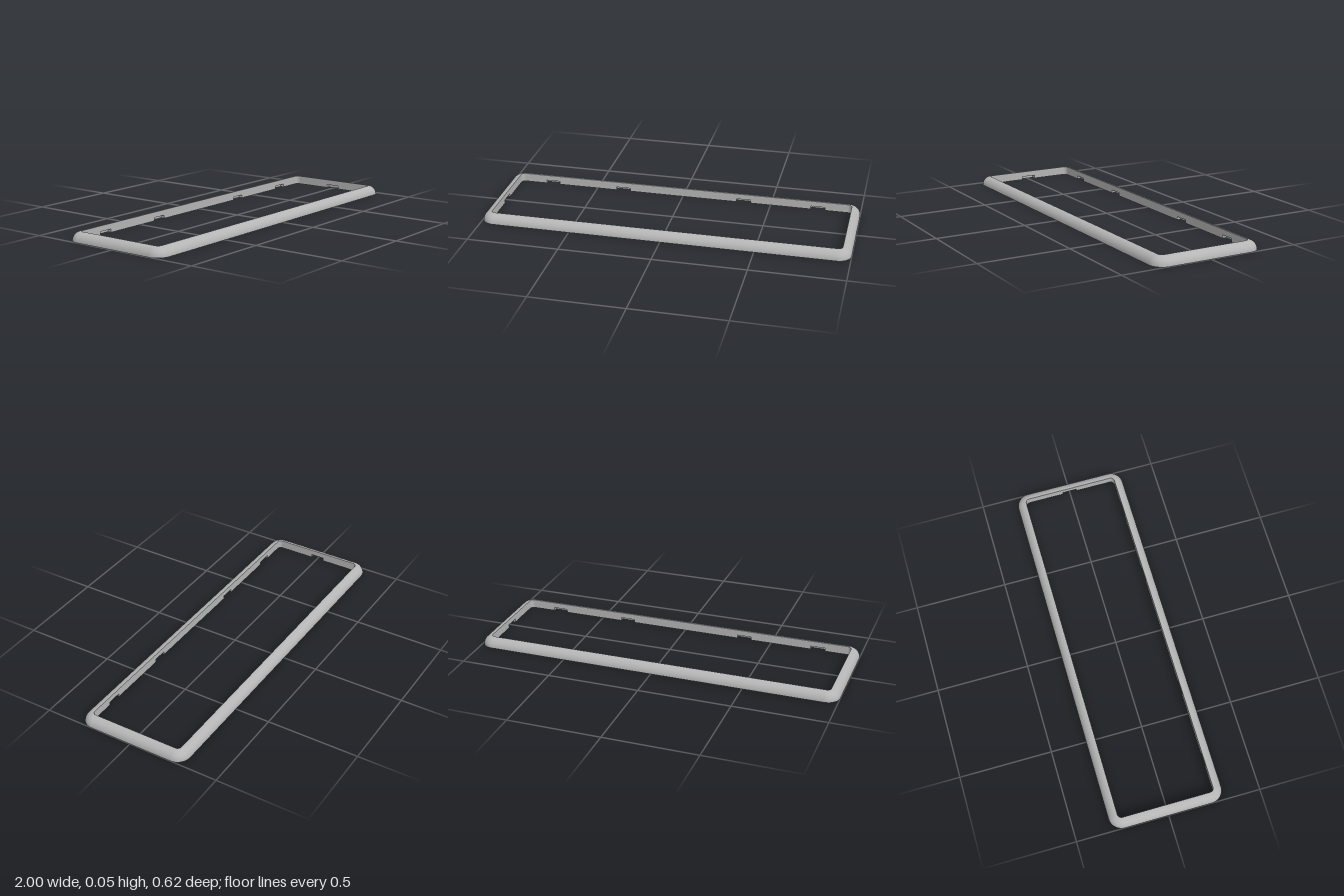
import * as THREE from 'three';

const HALF_X = 1, HALF_Z = 0.308, CORNER = 0.07;   // outer footprint
const H = 0.048;                                   // height and width of the moulding
const RECESS = 0.018;                              // height of notches and peg holes
const LIP = 0.004;
const NOTCH_HALF = 0.04, NOTCH_DEPTH = 0.022;
const LONG_NOTCHES = [-0.765, -0.347, 0.347, 0.765];
const PEG_X = [-0.87, -0.54, 0.54, 0.87];

// Rounded rectangle, counterclockwise, moved inward; optional notches cut outward in each side
function outline(inset, notched = false, steps = 10) {
  const r = CORNER - inset, pts = [];
  for (let k = 0; k < 4; k++) {
    const a = k * Math.PI / 2;
    const n = new THREE.Vector2(Math.cos(a), Math.sin(a));
    const t = new THREE.Vector2(-n.y, n.x);
    const d = (k % 2 ? HALF_Z : HALF_X) - inset;
    const e = (k % 2 ? HALF_X : HALF_Z) - inset;
    const at = (out, along) => n.clone().multiplyScalar(out).addScaledVector(t, along);
    if (notched) {
      for (const s of k % 2 ? LONG_NOTCHES : [0]) {
        pts.push(at(d, s - NOTCH_HALF), at(d + NOTCH_DEPTH, s - NOTCH_HALF),
          at(d + NOTCH_DEPTH, s + NOTCH_HALF), at(d, s + NOTCH_HALF));
      }
    }
    for (let i = 0; i <= steps; i++) {
      const b = i / steps * Math.PI / 2;
      pts.push(at(d - r + r * Math.cos(b), e - r + r * Math.sin(b)));
    }
  }
  return pts;
}

// Closed band through [inset, height] profile points
function band(profile) {
  const pos = [], index = [];
  let n = 0;
  for (const [inset, y] of profile) {
    const ring = outline(inset);
    n = ring.length;
    for (const p of ring) pos.push(p.x, y, -p.y);
  }
  for (let j = 0; j < profile.length - 1; j++) {
    for (let i = 0; i < n; i++) {
      const a = j * n + i, b = j * n + (i + 1) % n;
      index.push(a, b, b + n, a, b + n, a + n);
    }
  }
  const g = new THREE.BufferGeometry();
  g.setAttribute('position', new THREE.Float32BufferAttribute(pos, 3));
  g.setIndex(index);
  g.computeVertexNormals();
  return g;
}

export function createModel() {
  const group = new THREE.Group();
  group.name = 'frame';
  const grey = new THREE.MeshStandardMaterial({ color: 0xb5b5b5 });
  grey.name = 'grey';
  const add = (name, geometry) => {
    const mesh = new THREE.Mesh(geometry, grey);
    mesh.name = name;
    group.add(mesh);
    return mesh;
  };

  // Quarter-round outer face
  const arc = [];
  for (let i = 0; i <= 12; i++) {
    const a = i / 12 * Math.PI / 2;
    arc.push([H - H * Math.cos(a), H * Math.sin(a)]);
  }
  add('roundedFace', band(arc));

  // Upper inner wall, recess ceiling and thin outer rim underneath
  add('innerWall', band([[H, H], [H, RECESS]]));
  add('recessCeiling', band([[H, RECESS], [LIP, RECESS]]));
  add('bottomRim', band([[LIP, 0], [0, 0]]));

  // Base layer with clip notches and peg holes
  const base = new THREE.Shape(outline(LIP));
  base.holes.push(new THREE.Path(outline(H, true)));
  for (const side of [-1, 1]) {
    for (const x of PEG_X) {
      base.holes.push(new THREE.Path().absarc(x, side * (HALF_Z - H / 2), 0.008, 0, Math.PI * 2));
    }
  }
  const baseGeometry = new THREE.ExtrudeGeometry(base, { depth: RECESS, bevelEnabled: false, curveSegments: 12 });
  add('notchedBase', baseGeometry.rotateX(-Math.PI / 2));

  return group;
}
